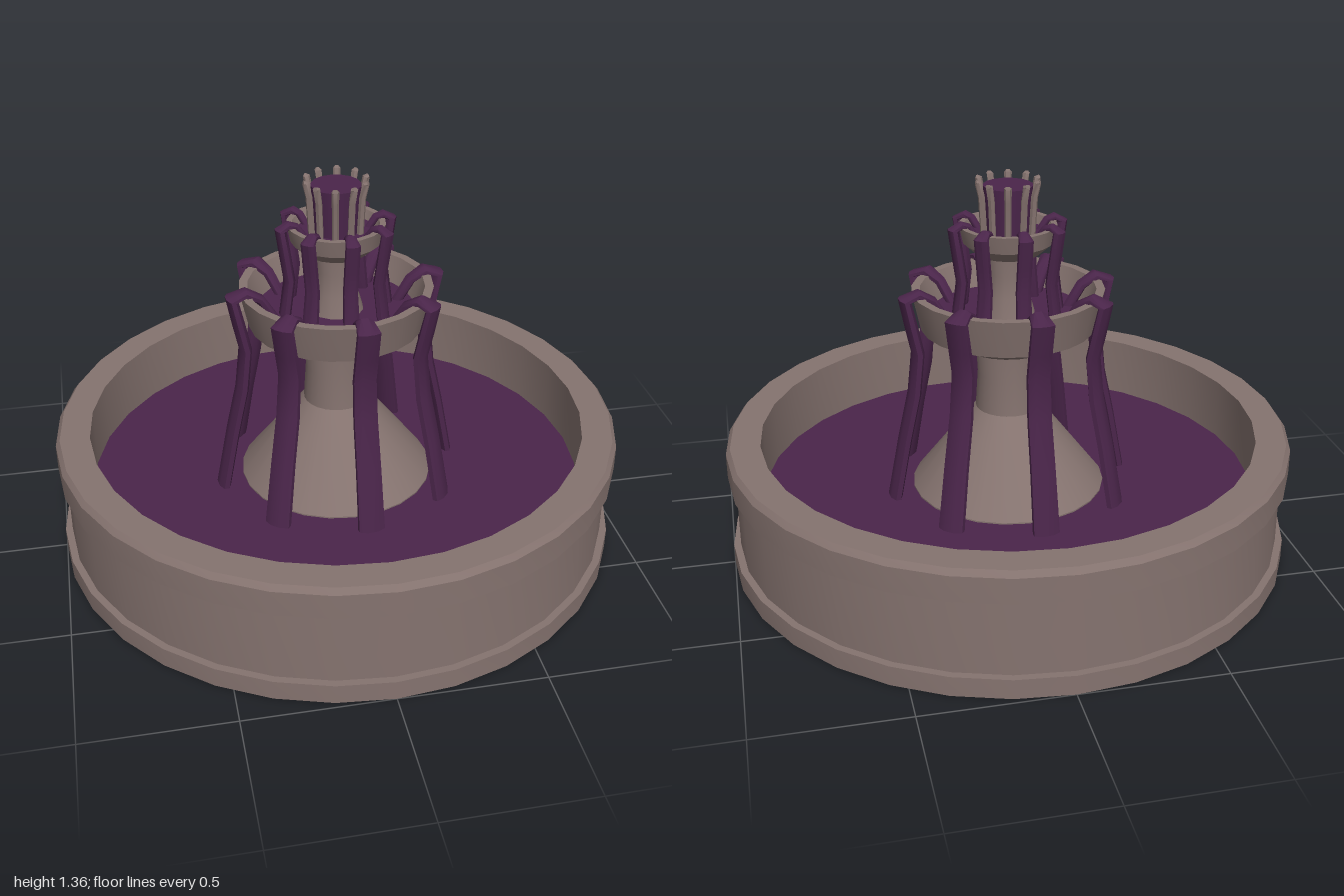
import * as THREE from 'three';
import { toCreasedNormals } from 'three/addons/utils/BufferGeometryUtils.js';

const stone = new THREE.MeshStandardMaterial({ color: 0x85736f, side: THREE.DoubleSide });
stone.name = 'stone';
const water = new THREE.MeshStandardMaterial({ color: 0x4a254a, side: THREE.DoubleSide });
water.name = 'water';

function part(name, geometry, material) {
  const mesh = new THREE.Mesh(geometry, material);
  mesh.name = name;
  return mesh;
}

// Revolved shell from [radius, height] pairs, listed bottom to top on the outside
function lathe(profile, segments) {
  const points = profile.map(([r, y]) => new THREE.Vector2(r, y));
  return toCreasedNormals(new THREE.LatheGeometry(points, segments), 0.5);
}

function pool(name, radius, y, segments) {
  const disc = new THREE.CircleGeometry(radius, segments).rotateX(-Math.PI / 2).translate(0, y, 0);
  return part(name, disc, water);
}

// Oval tube along stations [radius, height, half width, half thickness]
function sweep(stations, sides = 8) {
  const positions = [], index = [];
  const last = stations.length - 1;
  stations.forEach(([r, y, w, t], i) => {
    const a = stations[Math.max(i - 1, 0)], b = stations[Math.min(i + 1, last)];
    const dir = new THREE.Vector2(b[0] - a[0], b[1] - a[1]).normalize();
    for (let j = 0; j < sides; j++) {
      const angle = (j + 0.5) / sides * Math.PI * 2;
      const c = Math.cos(angle) * t;
      positions.push(r + dir.y * c, y - dir.x * c, Math.sin(angle) * w);
    }
  });
  const start = positions.length / 3;
  for (const i of [0, last]) positions.push(stations[i][0], stations[i][1], 0);
  for (let j = 0; j < sides; j++) {
    const k = (j + 1) % sides;
    for (let i = 0; i < last; i++) {
      const A = i * sides + j, B = i * sides + k, C = A + sides, D = B + sides;
      index.push(A, C, B, B, C, D);
    }
    index.push(start, j, k, start + 1, last * sides + k, last * sides + j);
  }
  const geometry = new THREE.BufferGeometry();
  geometry.setAttribute('position', new THREE.Float32BufferAttribute(positions, 3));
  geometry.setIndex(index);
  return toCreasedNormals(geometry, 0.9);
}

// Evenly spaced copies around the vertical axis
function around(name, geometry, material, count, offset) {
  const group = new THREE.Group();
  group.name = name + 's';
  for (let i = 0; i < count; i++) {
    const mesh = part(name, geometry, material);
    mesh.rotation.y = offset + i / count * Math.PI * 2;
    group.add(mesh);
  }
  return group;
}

export function createModel() {
  const model = new THREE.Group();
  model.name = 'fountain';
  const turn = 0.1;

  // Basin wall with plinth and overhanging rim, open underneath
  model.add(part('basin', lathe([
    [1, 0], [1, 0.07], [0.975, 0.07], [0.975, 0.34], [1, 0.34],
    [1, 0.43], [0.985, 0.45], [0.88, 0.45], [0.88, 0.225],
  ], 32), stone));
  model.add(pool('basinWater', 0.882, 0.23, 32));

  // Flared pedestal and the large bowl
  model.add(part('pedestal', lathe([
    [0.345, 0.19], [0.345, 0.235], [0.18, 0.45], [0.115, 0.53], [0.107, 0.66], [0.115, 0.8],
  ], 24), stone));
  model.add(part('lowerBowl', lathe([
    [0.1, 0.775], [0.18, 0.775], [0.305, 0.835], [0.335, 0.97], [0.305, 0.97], [0.27, 0.87],
  ], 24), stone));
  model.add(pool('lowerBowlWater', 0.275, 0.88, 24));

  // Upper column and the small bowl
  model.add(part('upperColumn', lathe([
    [0.1, 0.86], [0.075, 0.95], [0.068, 1.03], [0.075, 1.12],
  ], 16), stone));
  model.add(part('upperBowl', lathe([
    [0.06, 1.1], [0.11, 1.1], [0.155, 1.14], [0.168, 1.2], [0.148, 1.2], [0.13, 1.16],
  ], 20), stone));
  model.add(pool('upperBowlWater', 0.135, 1.17, 20));

  // Spout at the top: water core held by small leaning prongs
  model.add(part('spoutWater', new THREE.CylinderGeometry(0.085, 0.075, 0.17, 16).translate(0, 1.25, 0), water));
  model.add(around('spoutProng', sweep([
    [0.085, 1.16, 0.012, 0.012], [0.093, 1.3, 0.012, 0.012],
    [0.104, 1.35, 0.013, 0.012], [0.112, 1.352, 0.01, 0.008],
  ], 6), stone, 10, turn));

  // Water jets spilling over each bowl
  model.add(around('lowerJet', sweep([
    [0.22, 0.87, 0.02, 0.018], [0.27, 0.95, 0.024, 0.018], [0.32, 0.98, 0.032, 0.018],
    [0.367, 0.965, 0.042, 0.022], [0.345, 0.86, 0.042, 0.022], [0.326, 0.77, 0.042, 0.022],
    [0.342, 0.62, 0.044, 0.022], [0.38, 0.45, 0.046, 0.022], [0.43, 0.19, 0.05, 0.022],
  ]), water, 8, turn));
  model.add(around('upperJet', sweep([
    [0.11, 1.16, 0.013, 0.012], [0.14, 1.2, 0.015, 0.014], [0.165, 1.208, 0.019, 0.015],
    [0.192, 1.195, 0.026, 0.02], [0.178, 1.1, 0.026, 0.02],
    [0.165, 1.01, 0.026, 0.02], [0.185, 0.86, 0.03, 0.02],
  ]), water, 8, turn));

  return model;
}
